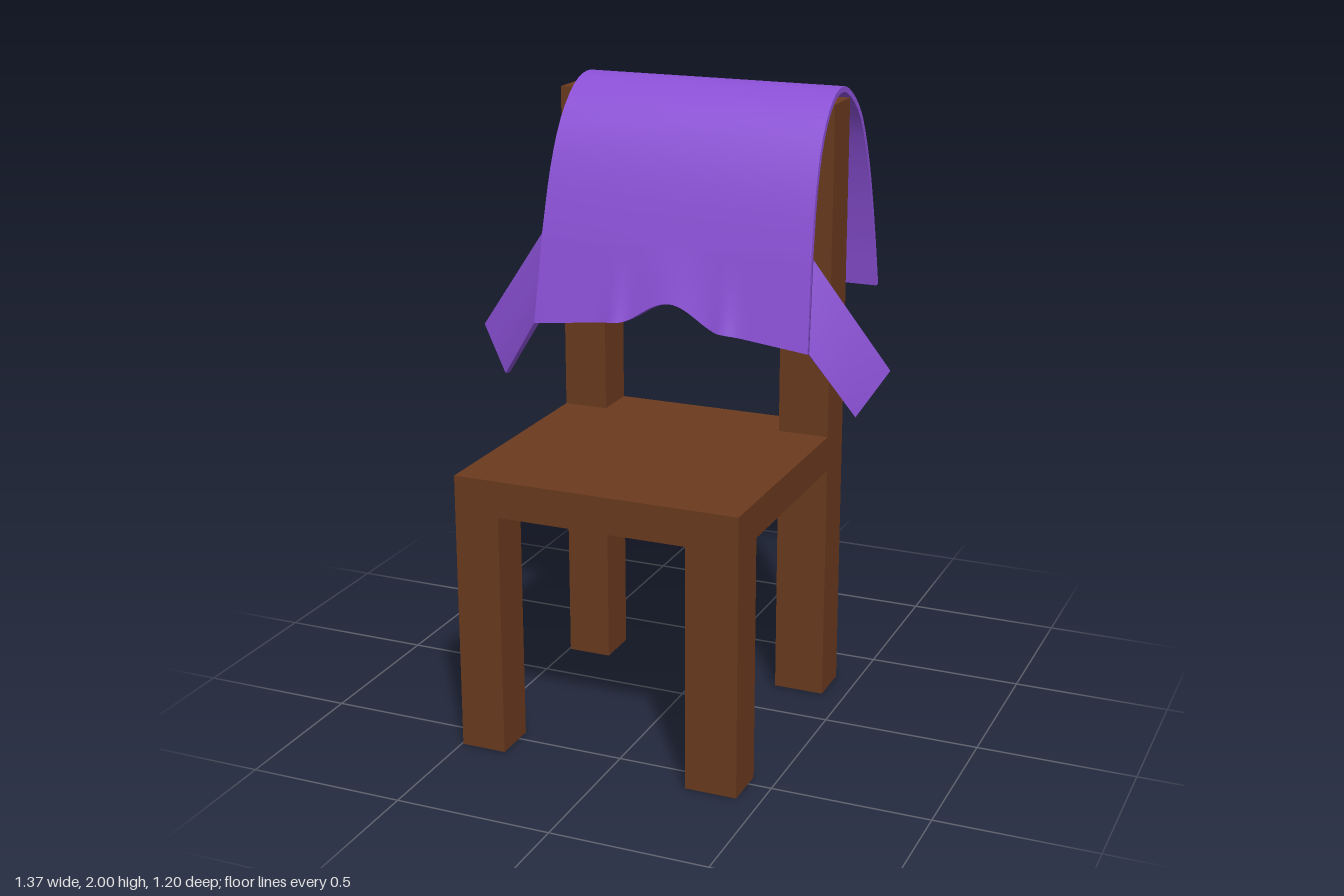
import * as THREE from 'three';

const V = (x, y, z) => new THREE.Vector3(x, y, z);
const mix = THREE.MathUtils.lerp;
const wood = new THREE.MeshStandardMaterial({ color: 0x6b3a1e });
const cloth = new THREE.MeshStandardMaterial({ color: 0x8b50d6, side: THREE.DoubleSide });

// Box given by its minimum and maximum corners
function block(name, x0, x1, y0, y1, z0, z1) {
  const mesh = new THREE.Mesh(new THREE.BoxGeometry(x1 - x0, y1 - y0, z1 - z0), wood);
  mesh.position.set((x0 + x1) / 2, (y0 + y1) / 2, (z0 + z1) / 2);
  mesh.name = name;
  return mesh;
}

// Thin cloth sheet with thickness; point(u, v) gives its middle surface, u and v from 0 to 1
function sheet(name, point, nu, nv, half = 0.009) {
  const mid = new THREE.PlaneGeometry(1, 1, nu, nv);
  const pos = mid.attributes.position;
  for (let j = 0, k = 0; j <= nv; j++)
    for (let i = 0; i <= nu; i++, k++) {
      const p = point(i / nu, j / nv);
      pos.setXYZ(k, p.x, p.y, p.z);
    }
  mid.computeVertexNormals();
  const verts = [], index = [], n = pos.count;
  const add = (k, side) => {
    const p = V().fromBufferAttribute(pos, k);
    const d = V().fromBufferAttribute(mid.attributes.normal, k);
    verts.push(...p.addScaledVector(d, side * half).toArray());
  };
  for (const side of [1, -1]) for (let k = 0; k < n; k++) add(k, side);
  const tri = mid.index.array;
  for (let t = 0; t < tri.length; t += 3) {
    index.push(tri[t], tri[t + 1], tri[t + 2]);
    index.push(n + tri[t], n + tri[t + 2], n + tri[t + 1]);
  }
  // Rim around the border, with its own vertices so the edge stays crisp
  const w = nu + 1, loop = [];
  for (let j = 0; j < nv; j++) loop.push(j * w);
  for (let i = 0; i < nu; i++) loop.push(nv * w + i);
  for (let j = nv; j > 0; j--) loop.push(j * w + nu);
  for (let i = nu; i > 0; i--) loop.push(i);
  loop.forEach((k, i) => {
    const b = verts.length / 3, next = loop[(i + 1) % loop.length];
    add(k, 1); add(k, -1); add(next, 1); add(next, -1);
    index.push(b, b + 1, b + 2, b + 1, b + 3, b + 2);
  });
  const geo = new THREE.BufferGeometry();
  geo.setAttribute('position', new THREE.Float32BufferAttribute(verts, 3));
  geo.setIndex(index);
  geo.computeVertexNormals();
  const mesh = new THREE.Mesh(geo, cloth);
  mesh.name = name;
  return mesh;
}

// Arch of the garment from the rear hem over the backrest to the armpits
const arch = new THREE.CatmullRomCurve3([
  V(0, 1.3, -0.588), V(0, 1.5, -0.553), V(0, 1.73, -0.492), V(0, 1.89, -0.418),
  V(0, 1.97, -0.325), V(0, 1.991, -0.25), V(0, 1.97, -0.165), V(0, 1.88, -0.068),
  V(0, 1.73, 0.005), V(0, 1.53, 0.058),
]);
const ARCH_SHARE = 0.7;

function bodyPoint(u, v) {
  const s = u * 2 - 1, a = Math.abs(s);
  if (v <= ARCH_SHARE) {
    const t = v / ARCH_SHARE, p = arch.getPoint(t);
    const width = t < 0.45 ? mix(0.45, 0.427, t / 0.45) : mix(0.427, 0.447, ((t - 0.45) / 0.55) ** 2);
    return V(s * width - 0.003, p.y, p.z);
  }
  // Lower front panel: neckline in the middle of the hem, with a fold at each end
  const t = (v - ARCH_SHARE) / (1 - ARCH_SHARE);
  const neck = a < 0.4 ? 0.5 + 0.5 * Math.cos(Math.PI * a / 0.4) : 0;
  const hem = mix(1.282, 1.25, Math.max(0, (a - 0.4) / 0.6)) + 0.075 * neck;
  const fold = Math.exp(-(((a - 0.4) / 0.07) ** 2));
  const z = mix(0.058, 0.108 - 0.004 * neck, t) + 0.012 * fold * t * t;
  return V(s * mix(0.447, 0.455, t) - 0.003 * (1 - t), mix(1.53, hem, t), z);
}

// Sleeve spread between the armhole edge and the cuff edge
function sleevePoint(u, v) {
  const inner = V(0.447, 1.53, 0.058).lerp(V(0.455, 1.25, 0.108), v);
  const cuff = V(0.683, 1.2, 0.016).lerp(V(0.59, 1.055, 0.055), v);
  return inner.lerp(cuff, u);
}

export function createModel() {
  const model = new THREE.Group();

  const chair = new THREE.Group();
  chair.name = 'chair';
  chair.add(block('seat', -0.495, 0.425, 0.78, 0.895, -0.323, 0.6));
  for (const [side, x0, x1] of [['right', -0.495, -0.35], ['left', 0.26, 0.425]]) {
    chair.add(block(side + 'FrontLeg', x0, x1, 0, 0.78, 0.453, 0.6));
    chair.add(block(side + 'BackPost', x0, x1, 0, 1.955, -0.323, -0.178));
  }
  chair.add(block('backrest', -0.35, 0.26, 1.41, 1.955, -0.323, -0.178));

  const shirt = new THREE.Group();
  shirt.name = 'drapedShirt';
  shirt.add(sheet('shirtBody', bodyPoint, 60, 40));
  shirt.add(sheet('leftSleeve', sleevePoint, 8, 6));
  shirt.add(sheet('rightSleeve', (u, v) => {
    const p = sleevePoint(1 - u, v);
    return V(-p.x, p.y, p.z);
  }, 8, 6));

  model.add(chair, shirt);
  return model;
}
